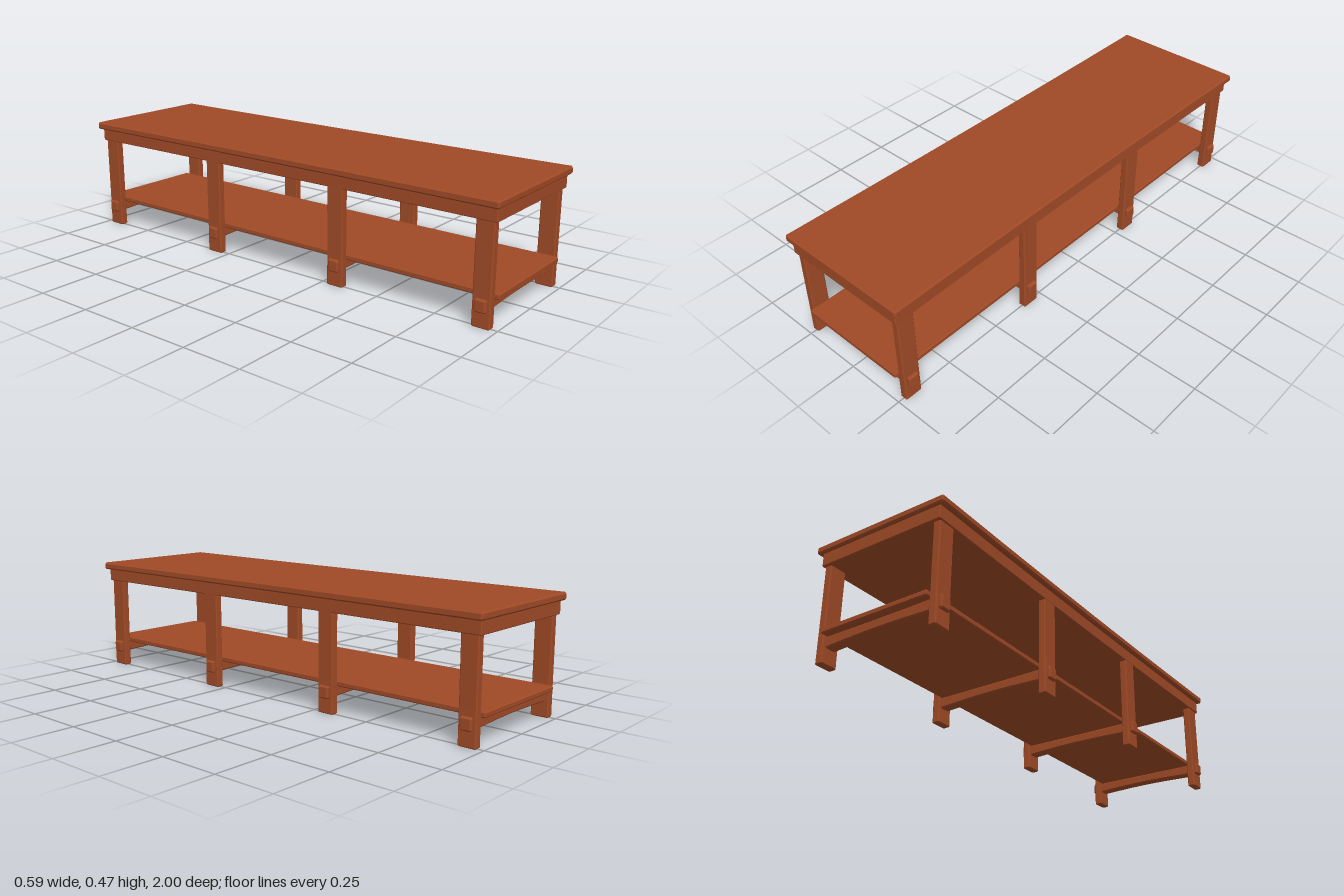
import * as THREE from 'three';

const wood = new THREE.MeshStandardMaterial({ color: 0xa04a26, flatShading: true });

// Chamfered plank of size w (x), h (y), len (z), split lengthwise so it can be warped
function plank(w, h, len, c, steps = 4) {
  const x = w / 2, y = h / 2;
  const section = new THREE.Shape([
    [x - c, -y], [x, -y + c], [x, y - c], [x - c, y],
    [-x + c, y], [-x, y - c], [-x, -y + c], [-x + c, -y],
  ].map(([a, b]) => new THREE.Vector2(a, b)));
  const geo = new THREE.ExtrudeGeometry(section, {
    depth: len - 2 * c, steps, bevelEnabled: true, bevelSegments: 1,
    bevelThickness: c, bevelSize: c, bevelOffset: -c,
  });
  geo.translate(0, 0, -len / 2 + c);
  return geo;
}

// Move every vertex by a rule, then rebuild the flat normals
function warp(geo, rule) {
  const p = geo.attributes.position;
  const v = new THREE.Vector3();
  for (let i = 0; i < p.count; i++) {
    v.fromBufferAttribute(p, i);
    rule(v);
    p.setXYZ(i, v.x, v.y, v.z);
  }
  geo.computeVertexNormals();
  return geo;
}

export function createModel() {
  const model = new THREE.Group();
  const add = (name, geo, x, y, z) => {
    const mesh = new THREE.Mesh(geo, wood);
    mesh.name = name;
    mesh.position.set(x, y, z);
    model.add(mesh);
  };

  // Table top, slightly waisted along its length
  const waist = (v) => { v.x *= 1 - 0.025 * Math.max(0, 1 - v.z * v.z); };
  add('tableTop', warp(plank(0.586, 0.03, 2, 0.006, 6), waist), 0, 0.457, 0);

  // Apron block under the top
  add('apron', warp(plank(0.546, 0.056, 1.974, 0.003, 6), waist), 0, 0.418, 0);

  // Lower shelf lying on the stretchers between the legs
  add('shelf', plank(0.474, 0.022, 1.984, 0.004, 6), 0, 0.117, 0);

  for (const [i, z] of [0.94, 0.315, -0.315, -0.94].entries()) {
    // Pair of legs, a little wider at the foot
    for (const [side, s] of [['left', 1], ['right', -1]]) {
      const leg = plank(0.031, 0.072, 0.396, 0.004, 3);
      leg.rotateX(-Math.PI / 2);
      warp(leg, (v) => { v.x *= 1 + 0.06 * (v.y < -0.1 ? 1 : 0); });
      add(`${side}Leg${i + 1}`, leg, s * 0.251, 0.198, z);
    }

    // Stretcher through both legs, its underside arched
    const stretcher = plank(0.046, 0.049, 0.56, 0.005, 6);
    stretcher.rotateY(Math.PI / 2);
    warp(stretcher, (v) => {
      const arch = Math.max(0, 1 - (v.x / 0.25) ** 2);
      v.y += arch * (v.y < 0 ? 0.008 : -0.003);
    });
    add(`stretcher${i + 1}`, stretcher, 0, 0.0855, z);
  }

  return model;
}
